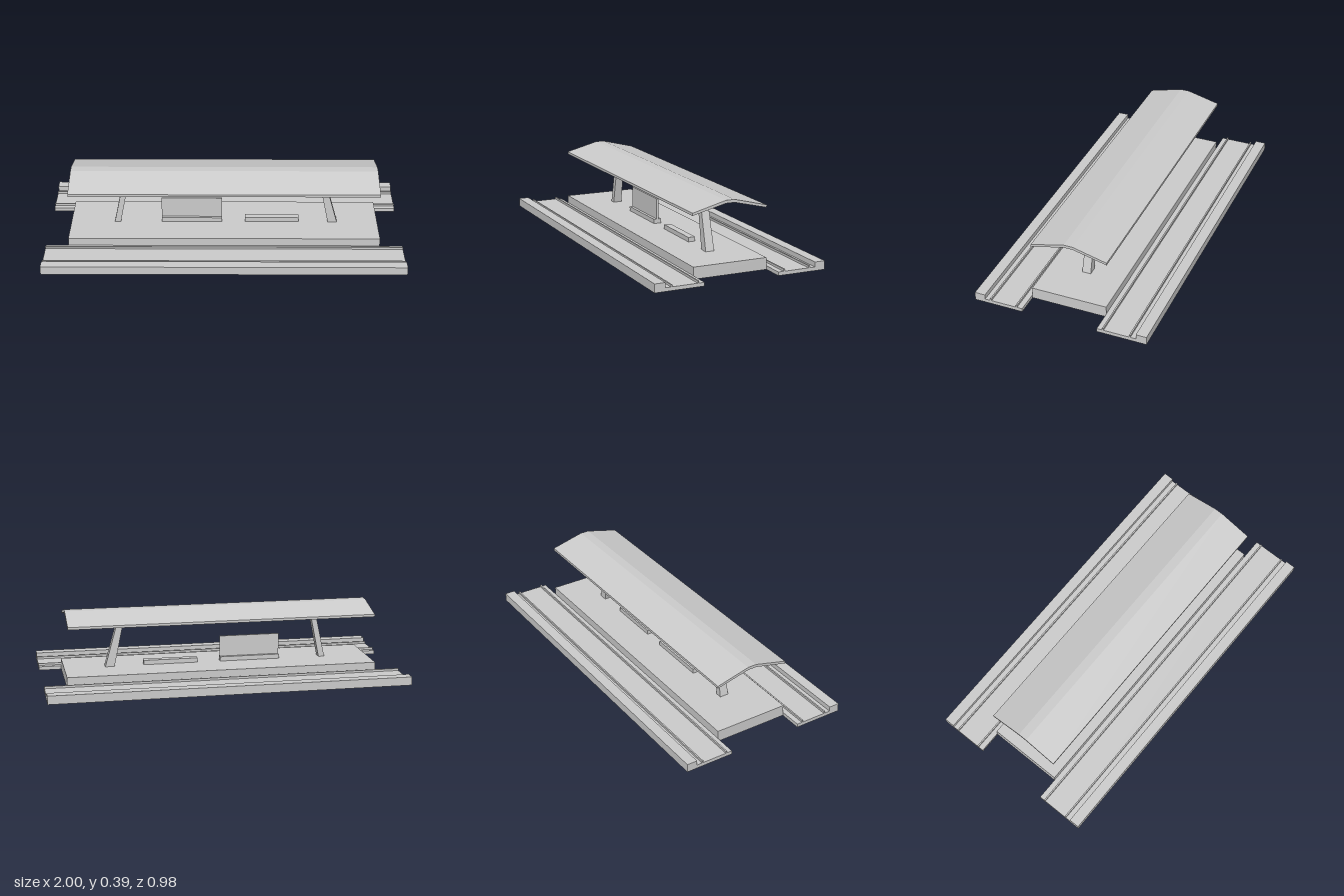
import * as THREE from 'three';

const grey = new THREE.MeshStandardMaterial({ color: 0xcccccc, flatShading: true });

function part(name, geometry, parent) {
  const mesh = new THREE.Mesh(geometry, grey);
  mesh.name = name;
  parent.add(mesh);
  return mesh;
}

// Box given by its extents along each axis
function box(name, [x0, x1], [y0, y1], [z0, z1], parent) {
  const g = new THREE.BoxGeometry(x1 - x0, y1 - y0, z1 - z0);
  g.translate((x0 + x1) / 2, (y0 + y1) / 2, (z0 + z1) / 2);
  return part(name, g, parent);
}

// Extrudes a (z, y) cross-section along x, centred on x = 0
function extrudeAlongX(points, length) {
  const shape = new THREE.Shape(points.map(([z, y]) => new THREE.Vector2(z, y)));
  const g = new THREE.ExtrudeGeometry(shape, { depth: length, bevelEnabled: false });
  g.translate(0, 0, -length / 2);
  g.rotateY(-Math.PI / 2);
  return g;
}

// Slanted post: x range at foot and at head, slimming slightly in depth
function post(name, foot, head, parent) {
  const y0 = 0.065, y1 = 0.38;
  const g = new THREE.BoxGeometry(1, 1, 1);
  const p = g.attributes.position;
  for (let i = 0; i < p.count; i++) {
    const top = p.getY(i) > 0;
    const [a, b] = top ? head : foot;
    p.setXYZ(i, p.getX(i) < 0 ? a : b, top ? y1 : y0, Math.sign(p.getZ(i)) * (top ? 0.021 : 0.025));
  }
  g.computeVertexNormals();
  return part(name, g, parent);
}

export function createModel() {
  const model = new THREE.Group();
  model.name = 'stationPlatform';

  // Central platform
  box('platform', [-0.873, 0.873], [0, 0.065], [-0.213, 0.213], model);

  // Track on each side: bed with raised outer kerb, and two rails
  const bed = extrudeAlongX([
    [0.213, 0], [0.489, 0], [0.489, 0.047], [0.43, 0.047], [0.43, 0.02], [0.213, 0.02],
  ], 2);
  for (const side of ['front', 'back']) {
    const track = new THREE.Group();
    track.name = side + 'Track';
    if (side === 'back') track.rotation.y = Math.PI;
    part('trackBed', bed, track);
    for (const z of [0.247, 0.396]) {
      box('rail', [-1, 1], [0.02, 0.032], [z - 0.004, z + 0.004], track);
    }
    model.add(track);
  }

  // Canopy with flat ridge and sloping wings
  part('canopy', extrudeAlongX([
    [-0.214, 0.331], [-0.025, 0.377], [0.025, 0.377], [0.214, 0.331],
    [0.214, 0.345], [0.025, 0.393], [-0.025, 0.393], [-0.214, 0.345],
  ], 1.726), model);

  // Leaning canopy posts
  post('rightPost', [-0.625, -0.591], [-0.558, -0.528], model);
  post('leftPost', [0.591, 0.643], [0.524, 0.554], model);

  // Bench with a central back panel, and a plain low bench
  box('benchSeat', [-0.357, -0.014], [0.065, 0.09], [-0.022, 0.022], model);
  box('benchBack', [-0.357, -0.014], [0.09, 0.208], [-0.005, 0.005], model);
  box('lowBench', [0.118, 0.425], [0.065, 0.09], [-0.02, 0.02], model);

  return model;
}
